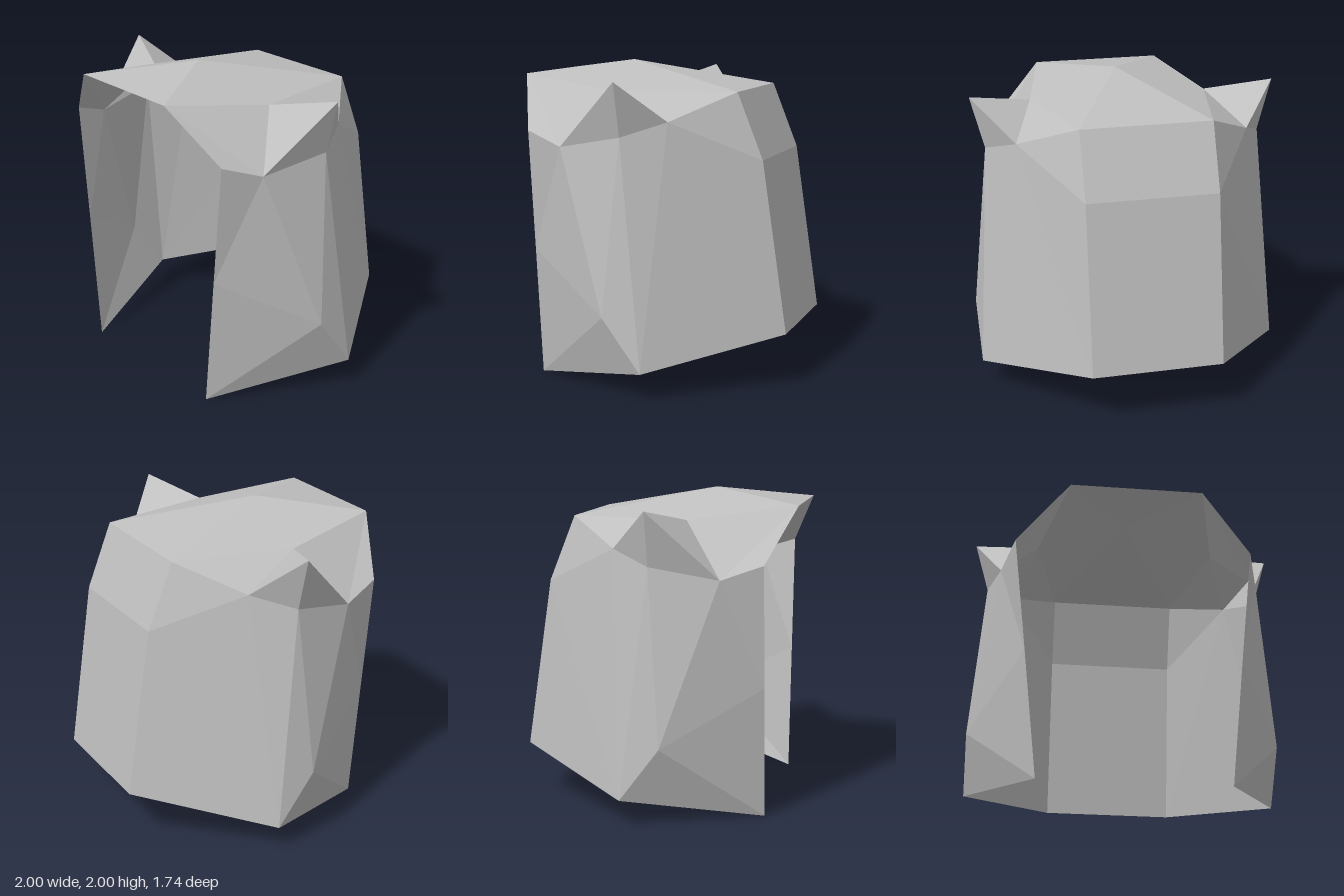
import * as THREE from 'three';

// Corner points of the left (+x) half of the helmet shell
const P = {
  crown: [0, 2, 0.29],
  brow: [0.42, 1.92, 0.87],
  temple: [0.75, 1.59, 0.71],
  backTop: [0.42, 1.835, -0.545],
  backMid: [0.42, 1.42, -0.71],
  backLow: [0.42, 0.34, -0.87],
  earTip: [1, 1.92, 0.04],
  earFront: [0.83, 1.505, 0.46],
  earInner: [0.585, 1.835, 0.21],
  earBack: [0.75, 1.67, -0.21],
  earUnder: [0.91, 1.585, 0.04],
  cheekEdge: [0.67, 0.83, 0.71],
  cheekTip: [0.585, 0, 0.71],
  cheekSide: [1, 0.5, 0.125],
  sideLow: [1, 0.17, -0.12],
};

// Each polygon lists corners counter-clockwise from outside; "-" marks a mirrored corner
const CROWN = ['crown brow earInner', 'crown earInner backTop', 'earInner earBack backTop',
  'brow temple earFront', 'brow earFront earInner'];
const CROWN_MIDDLE = ['crown backTop -backTop', 'crown -brow brow'];
const EAR = ['earInner earFront earTip', 'earInner earTip earBack',
  'earFront earUnder earTip', 'earTip earUnder earBack'];
const CHEEK = ['temple cheekEdge earFront', 'cheekEdge cheekSide earFront',
  'cheekEdge cheekTip cheekSide', 'cheekTip sideLow cheekSide',
  'earFront cheekSide earUnder', 'cheekSide sideLow earUnder'];
const REAR_SIDE = ['earUnder sideLow earBack', 'earBack sideLow backLow backMid',
  'earBack backMid backTop'];
const BACK = ['backTop backMid -backMid -backTop', 'backMid backLow -backLow -backMid'];

export function createModel() {
  const metal = new THREE.MeshStandardMaterial({
    color: 0xbfbfbf, side: THREE.DoubleSide, flatShading: true });
  metal.name = 'grey metal';
  const group = new THREE.Group();
  group.name = 'helmet';

  function addPart(name, polygons, side = 1) {
    const positions = [];
    for (const polygon of polygons) {
      const pts = polygon.split(' ').map((key) => {
        const [x, y, z] = P[key.replace('-', '')];
        return [x * (key[0] === '-' ? -side : side), y, z];
      });
      if (side < 0) pts.reverse();
      for (let i = 1; i < pts.length - 1; i++) {
        positions.push(...pts[0], ...pts[i], ...pts[i + 1]);
      }
    }
    const geometry = new THREE.BufferGeometry();
    geometry.setAttribute('position', new THREE.Float32BufferAttribute(positions, 3));
    geometry.computeVertexNormals();
    const mesh = new THREE.Mesh(geometry, metal);
    mesh.name = name;
    group.add(mesh);
  }

  // Central panels
  addPart('crownMiddle', CROWN_MIDDLE);
  addPart('backPanel', BACK);

  // Mirrored panels
  for (const [side, label] of [[1, 'left'], [-1, 'right']]) {
    addPart(label + 'Crown', CROWN, side);
    addPart(label + 'Ear', EAR, side);
    addPart(label + 'CheekGuard', CHEEK, side);
    addPart(label + 'RearSide', REAR_SIDE, side);
  }
  return group;
}
